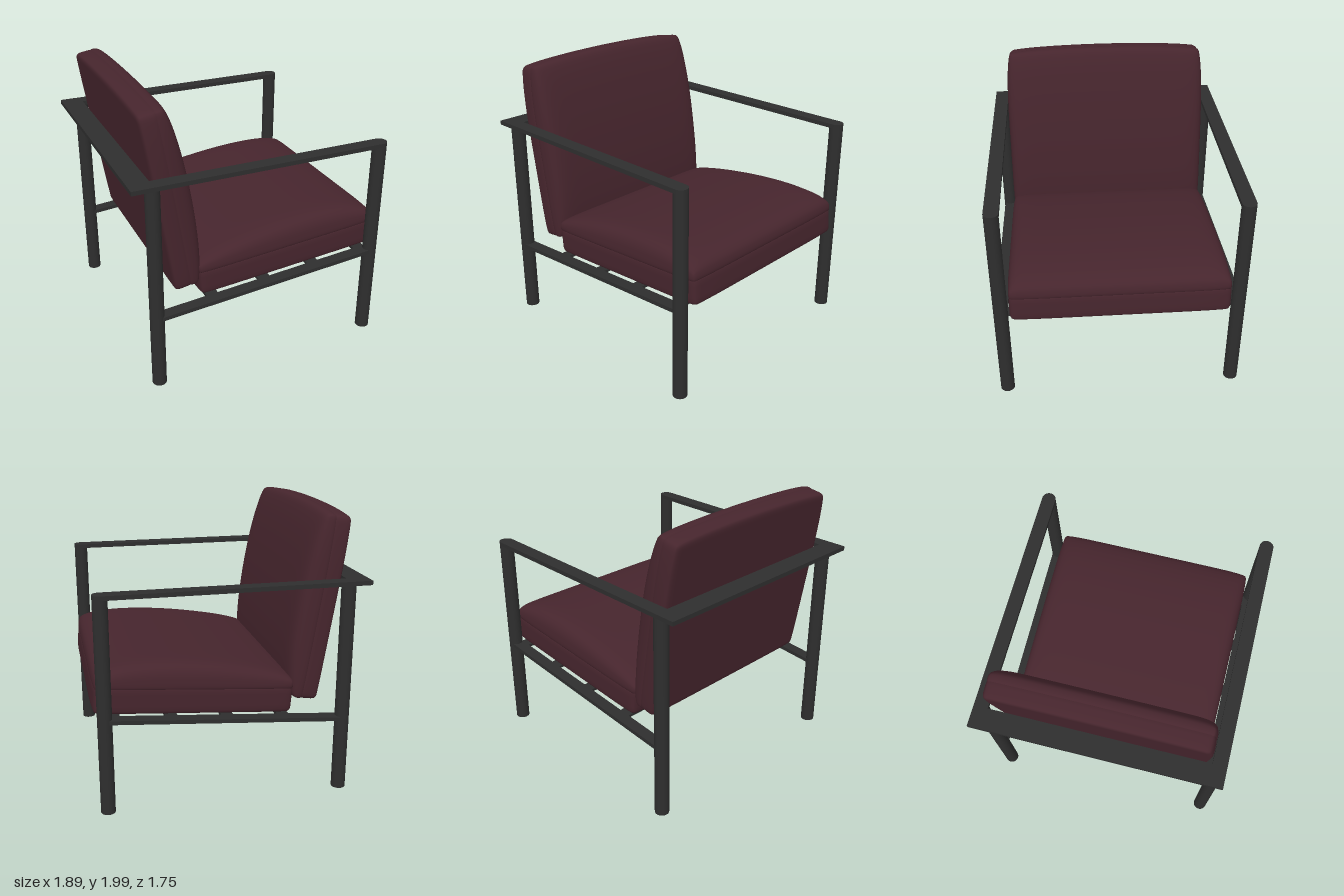
import * as THREE from 'three';
import { mergeVertices } from 'three/addons/utils/BufferGeometryUtils.js';

const leather = new THREE.MeshStandardMaterial({ color: 0x46252d });
const steel = new THREE.MeshStandardMaterial({ color: 0x2e2e2e });

function add(parent, name, geometry, material, x = 0, y = 0, z = 0) {
  const mesh = new THREE.Mesh(geometry, material);
  mesh.name = name;
  mesh.position.set(x, y, z);
  parent.add(mesh);
  return mesh;
}

// Rounded pad: a dense box with softened edges and corners, and a crowned top
function padGeometry({ length, height, width, radius, crown = 0, skew = 0, taper = 0, arch = 0 }) {
  const half = new THREE.Vector3(length / 2, height / 2, width / 2);
  const inner = half.clone().subScalar(radius);
  const geometry = new THREE.BoxGeometry(2, 2, 2, 32, 8, 32);
  const pos = geometry.attributes.position;
  const p = new THREE.Vector3(), c = new THREE.Vector3();
  const dense = (t) => Math.sin(t * Math.PI / 2); // more rows near the edges
  for (let i = 0; i < pos.count; i++) {
    p.fromBufferAttribute(pos, i);
    p.set(dense(p.x), dense(p.y), dense(p.z)).multiply(half);
    c.copy(p).clamp(inner.clone().negate(), inner);
    p.sub(c);
    if (p.lengthSq() > 0) p.setLength(radius);
    p.add(c);
    const t = p.x / half.x, s = p.z / half.z;
    if (p.y > 0) {
      const dome = Math.sqrt(Math.max(0, (1 - t * t) * (1 - s ** 16))) * (1 + skew * t);
      p.y += crown * dome * p.y / half.y;
    }
    // rounded outline, narrowing and arching towards the -x end
    const up = Math.max(0, -t);
    p.x = p.x * (1 - 0.015 * s ** 8) + arch * s * s * up;
    p.z *= 1 - 0.012 * t ** 8 - taper * up ** 3;
    pos.setXYZ(i, p.x, p.y, p.z);
  }
  geometry.deleteAttribute('uv');
  geometry.deleteAttribute('normal');
  const smooth = mergeVertices(geometry, 1e-5);
  smooth.computeVertexNormals();
  return smooth;
}

// Cushion: flat slab below the seam, crowned panel above it
function cushion(name, { thickness, crown, skew, ...size }) {
  const group = new THREE.Group();
  group.name = name;
  const lip = 0.06;
  add(group, name + 'Slab', padGeometry({ ...size, height: thickness, radius: 0.035 }), leather, 0, -thickness / 2, 0);
  add(group, name + 'Crown', padGeometry({ ...size, height: lip, radius: 0.025, crown: crown - lip / 2, skew }), leather);
  return group;
}

export function createModel() {
  const chair = new THREE.Group();
  chair.name = 'armchair';
  const legZ = 0.825, slope = 0.081;

  // Round legs
  for (const side of [-1, 1]) {
    for (const [name, x] of [['frontLeg', 0.87], ['backLeg', -0.79]]) {
      add(chair, name, new THREE.CylinderGeometry(0.05, 0.05, 1.5, 32), steel, x, 0.75, side * legZ);
    }
  }

  // Flat U-shaped arm and back strip with rounded front ends
  const strip = new THREE.Shape();
  strip.moveTo(-0.94, -0.875);
  strip.lineTo(0.87, -0.875);
  strip.absarc(0.87, -legZ, 0.05, -Math.PI / 2, Math.PI / 2, false);
  strip.lineTo(-0.79, -0.775);
  strip.lineTo(-0.79, 0.775);
  strip.lineTo(0.87, 0.775);
  strip.absarc(0.87, legZ, 0.05, -Math.PI / 2, Math.PI / 2, false);
  strip.lineTo(-0.94, 0.875);
  strip.closePath();
  const stripGeometry = new THREE.ExtrudeGeometry(strip, { depth: 0.03, bevelEnabled: false, curveSegments: 16 });
  stripGeometry.rotateX(Math.PI / 2);
  add(chair, 'armStrip', stripGeometry, steel, 0, 1.527, 0);

  // Sloping seat frame: side rails and cross slats
  const seatFrame = new THREE.Group();
  seatFrame.name = 'seatFrame';
  seatFrame.position.set(0.04, 0.604, 0);
  seatFrame.rotation.z = Math.atan(slope);
  chair.add(seatFrame);
  for (const side of [-1, 1]) {
    add(seatFrame, 'sideRail', new THREE.BoxGeometry(1.62, 0.028, 0.085), steel, 0, 0, side * legZ);
  }
  for (const x of [0.77, 0.38, -0.01, -0.41]) {
    add(seatFrame, 'slat', new THREE.BoxGeometry(0.085, 0.02, 1.6), steel, x, 0, 0);
  }

  // Seat cushion
  const seat = cushion('seatCushion', { length: 1.4, width: 1.535, thickness: 0.2, crown: 0.153, skew: 0.22 });
  seat.position.set(0.235, 0.83, 0);
  seat.rotation.z = Math.atan(slope);
  chair.add(seat);

  // Reclined back cushion, its crown facing forward
  const back = cushion('backCushion', {
    length: 1.34, width: 1.535, thickness: 0.135, crown: 0.125, skew: 0.05, taper: 0.035, arch: 0.025,
  });
  back.position.set(-0.597, 1.325, 0);
  back.rotation.z = 0.16 - Math.PI / 2;
  chair.add(back);

  return chair;
}
